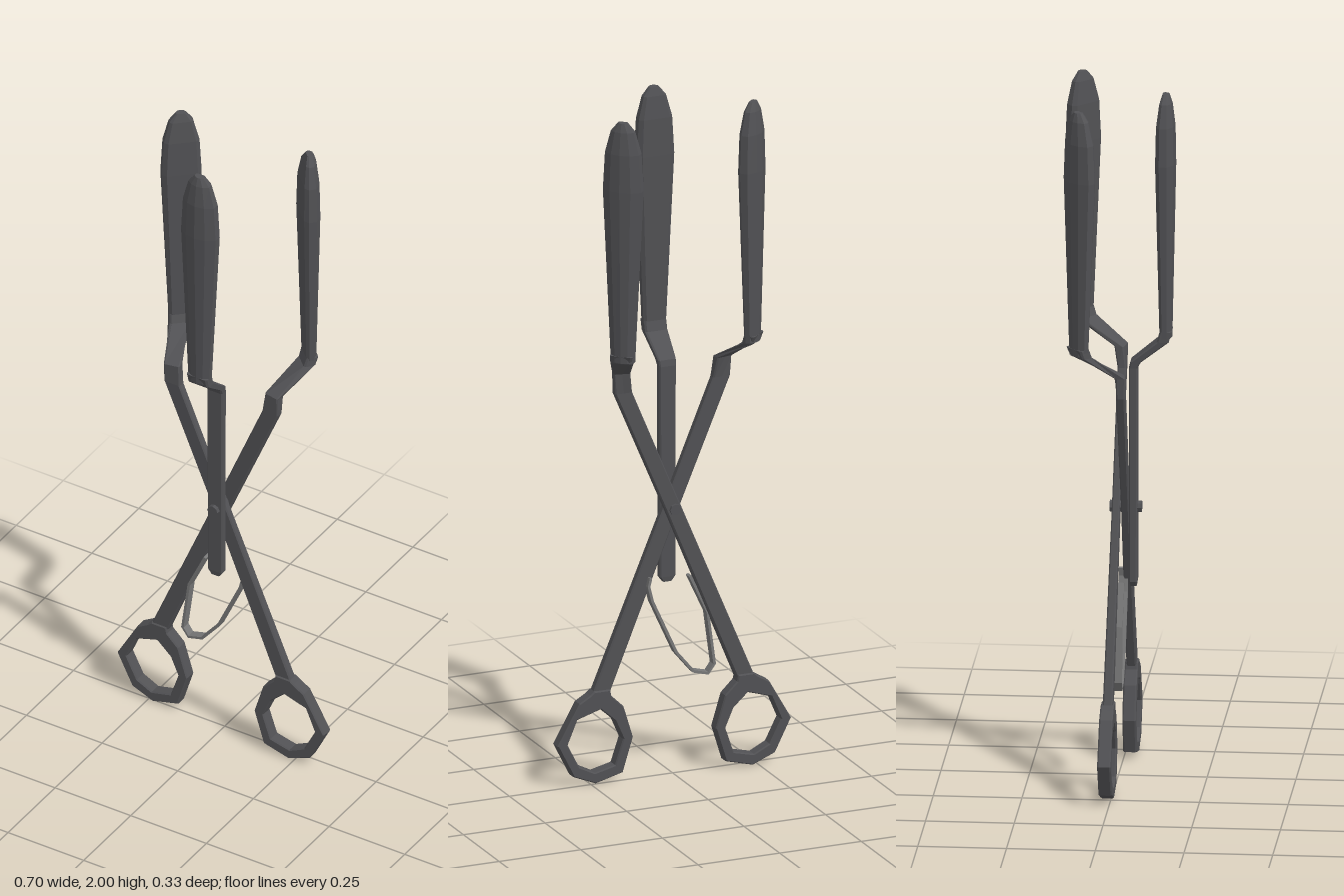
import * as THREE from 'three';

// Nine-point cross-sections: chamfered bar and domed paddle (flat inner face)
const BAR = [[-.85, -1], [.85, -1], [1, -.7], [1, .7], [.85, 1], [0, 1], [-.85, 1], [-1, .7], [-1, -.7]];
const PADDLE = [[-.78, -1], [.78, -1], [1, -.6], [1, .2], [.55, .8], [0, 1], [-.55, .8], [-1, .2], [-1, -.6]];

// Loft through horizontal sections { x, y, z, w, d, turn, profile }
function loft(sections) {
  const rings = sections.map(({ x, y, z, w, d, turn, profile }) => profile.map(([u, v]) =>
    new THREE.Vector3(u * w, 0, v * d).applyAxisAngle(new THREE.Vector3(0, 1, 0), turn).add(new THREE.Vector3(x, y, z))));
  const n = BAR.length, tris = [];
  for (let i = 0; i < rings.length - 1; i++) {
    for (let j = 0; j < n; j++) {
      const k = (j + 1) % n, lo = rings[i], hi = rings[i + 1];
      tris.push(lo[j], hi[j], lo[k], lo[k], hi[j], hi[k]);
    }
  }
  const bottom = rings[0], top = rings[rings.length - 1];
  for (let j = 1; j < n - 1; j++) {
    tris.push(bottom[0], bottom[j], bottom[j + 1], top[0], top[j + 1], top[j]);
  }
  const geometry = new THREE.BufferGeometry().setFromPoints(tris);
  geometry.computeVertexNormals();
  return geometry;
}

// Paddle: height, half width, half depth
const PADDLE_STEPS = [[1.29, .034, .017], [1.8, .057, .028], [1.91, .051, .026],
  [1.975, .034, .018], [2, .014, .01]];

function paddle(x, z, turn) {
  return loft(PADDLE_STEPS.map(([y, w, d]) => ({ x, y, z, w, d, turn, profile: PADDLE })));
}

// Bar from rows of [x, y, z, half width, half depth, turn]
function bar(rows) {
  return loft(rows.map(([x, y, z, w, d, turn]) => ({ x, y, z, w, d, turn, profile: BAR })));
}

const toVectors = (points) => points.map(([x, y]) => new THREE.Vector2(x, y));

// Finger ring with a flared neck, on the +x or -x side
function fingerRing(side, z) {
  const flip = (points) => toVectors(points.map(([x, y]) => [x * side, y]));
  const shape = new THREE.Shape(flip([[.12, .125], [.149, .22], [.186, .256], [.19, .275], [.238, .275], [.25, .265],
    [.284, .245], [.351, .127], [.302, .03], [.234, .002], [.151, .024]]));
  shape.holes.push(new THREE.Path(flip([[.32, .127], [.29, .198], [.219, .22], [.175, .18],
    [.15, .123], [.175, .049], [.237, .034], [.285, .058]])));
  return new THREE.ExtrudeGeometry(shape, { depth: .03, bevelEnabled: true, bevelThickness: .004,
    bevelSize: .003, bevelOffset: -.003, bevelSegments: 1 }).translate(0, 0, z - .015);
}

// Bent flat spring between the two arms
function springStrip() {
  const path = toVectors([[.068, .59], [.074, .565], [.063, .52], [-.01, .36], [-.063, .296], [-.108, .284],
    [-.127, .31], [-.106, .466], [-.053, .58]]);
  const offset = (amount) => path.map((p, i) => {
    const t = path[Math.min(i + 1, path.length - 1)].clone().sub(path[Math.max(i - 1, 0)]).normalize();
    return new THREE.Vector2(p.x - t.y * amount, p.y + t.x * amount);
  });
  const shape = new THREE.Shape([...offset(.004), ...offset(-.004).reverse()]);
  return new THREE.ExtrudeGeometry(shape, { depth: .026, bevelEnabled: false }).translate(0, 0, -.005);
}

function flatMaterial(name, color) {
  const material = new THREE.MeshStandardMaterial({ color, flatShading: true });
  material.name = name;
  return material;
}

export function createModel() {
  const model = new THREE.Group();
  const iron = flatMaterial('dark iron', 0x515154);
  const steel = flatMaterial('spring steel', 0x777777);
  const add = (name, geometry, material = iron) => {
    const mesh = new THREE.Mesh(geometry, material);
    mesh.name = name;
    model.add(mesh);
  };

  // Crossing arms, each ending in a paddle above and a ring below
  const arms = [
    { name: 'front', side: -1, lowZ: .02, topZ: .021, paddleX: .206, paddleZ: -.097, turn: 2.4 },
    { name: 'rear', side: 1, lowZ: -.01, topZ: -.002, paddleX: .206, paddleZ: -.121, turn: 2.38 },
  ];
  for (const { name, side, lowZ, topZ, paddleX, paddleZ, turn } of arms) {
    const flat = Math.PI * side, faced = turn * side;
    add(name + 'CrossArm', bar([
      [-side * .215, .265, lowZ, .027, .014, flat],
      [0, .785, (lowZ + topZ) / 2, .025, .011, flat],
      [side * .155, 1.155, topZ, .026, .012, flat],
      [side * .16, 1.215, topZ - .004, .024, .014, flat - side * .2],
      [side * (paddleX - .003), 1.285, paddleZ + .01, .031, .017, faced],
      [side * paddleX, 1.31, paddleZ, .034, .017, faced],
    ]));
    add(name + 'ArmPaddle', paddle(side * paddleX, paddleZ, faced));
    add(name + 'FingerRing', fingerRing(-side, lowZ - .001));
  }

  // Straight middle arm with its paddle
  add('middleArm', bar([
    [0, .56, .043, .013, .009, 0],
    [0, .575, .043, .024, .011, 0],
    [0, 1.2, .043, .025, .012, 0],
    [0, 1.218, .05, .027, .015, 0],
    [0, 1.28, .127, .034, .017, 0],
    [0, 1.31, .135, .034, .017, 0],
  ]));
  add('middlePaddle', paddle(0, .135, 0));

  // Pivot rivet and spring
  add('pivotRivet', new THREE.CylinderGeometry(.017, .017, .09, 8).rotateX(Math.PI / 2).translate(0, .79, .021));
  add('springStrip', springStrip(), steel);
  return model;
}
